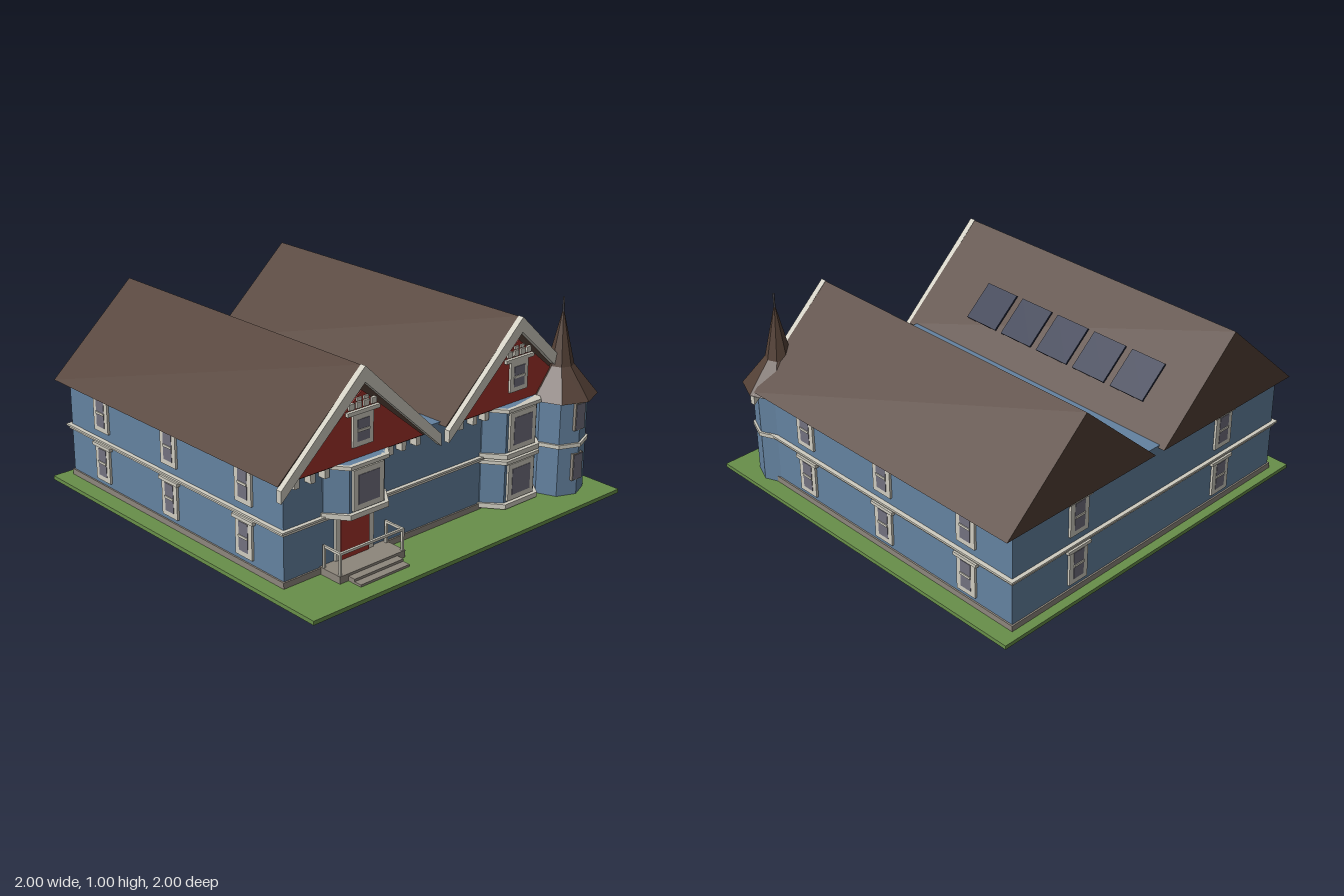
import * as THREE from 'three';

const mat = (name, color) => {
  const m = new THREE.MeshStandardMaterial({ color });
  m.name = name;
  return m;
};

export function createModel() {
  const lawnGreen = mat('lawnGreen', 0x688f4a);
  const wallBlue = mat('wallBlue', 0x6482a0);
  const trimCream = mat('trimCream', 0xcfccc0);
  const gableRed = mat('gableRed', 0xa0322b);
  const roofBrown = mat('roofBrown', 0x523f35);
  const stoneGrey = mat('stoneGrey', 0x8d867c);
  const glassGrey = mat('glassGrey', 0x72707f);
  const panelNavy = mat('panelNavy', 0x222a45);
  const metalGrey = mat('metalGrey', 0x4c4a50);

  const house = new THREE.Group();
  house.name = 'house';

  const add = (name, geo, material, parent = house) => {
    const m = new THREE.Mesh(geo, material);
    m.name = name;
    parent.add(m);
    return m;
  };
  // Box given by its limits on each axis
  const box = (name, material, [x0, x1], [y0, y1], [z0, z1], parent) => {
    const m = add(name, new THREE.BoxGeometry(x1 - x0, y1 - y0, z1 - z0), material, parent);
    m.position.set((x0 + x1) / 2, (y0 + y1) / 2, (z0 + z1) / 2);
    return m;
  };
  // Outline in x,y extruded from z0 to z1
  const slab = (name, material, pts, z0, z1, cx = 0) => {
    const shape = new THREE.Shape(pts.map(([x, y]) => new THREE.Vector2(x, y)));
    const geo = new THREE.ExtrudeGeometry(shape, { depth: z1 - z0, bevelEnabled: false });
    geo.translate(cx, 0, z0);
    return add(name, geo, material);
  };
  // Three-sided bay outline extruded upwards
  const bayPrism = (name, material, cx, half, front, zf, y0, y1) => {
    const shape = new THREE.Shape([
      new THREE.Vector2(-half, -0.68), new THREE.Vector2(-half, -0.7),
      new THREE.Vector2(-front, -zf), new THREE.Vector2(front, -zf),
      new THREE.Vector2(half, -0.7), new THREE.Vector2(half, -0.68),
    ]);
    const geo = new THREE.ExtrudeGeometry(shape, { depth: y1 - y0, bevelEnabled: false });
    geo.rotateX(-Math.PI / 2).translate(cx, y0, 0);
    return add(name, geo, material);
  };
  // Framed window facing local +z, with optional sash bar and header
  const windowUnit = (x, y, z, turn, w, h, border, bar = true, header = true) => {
    const g = new THREE.Group();
    g.name = 'window';
    const gw = w / 2 - border, gh = h / 2 - border;
    box('windowFrame', trimCream, [-w / 2, w / 2], [-h / 2, h / 2], [-0.01, 0.012], g);
    box('windowGlass', glassGrey, [-gw, gw], [-gh, gh], [0.008, 0.014], g);
    if (bar) box('sashBar', trimCream, [-gw, gw], [-0.006, 0.006], [0.01, 0.018], g);
    if (header) box('windowHeader', trimCream, [-w / 2 - 0.015, w / 2 + 0.015], [h / 2 - 0.017, h / 2], [0, 0.02], g);
    g.position.set(x, y, z);
    g.rotation.y = turn;
    house.add(g);
  };

  // Ground and main body
  const W = 0.905, ZF = 0.695, ZB = -0.945;
  box('lawn', lawnGreen, [-1, 1], [0, 0.02], [-1, 1]);
  box('walls', wallBlue, [-W, W], [0.02, 0.545], [ZB, ZF]);
  box('foundation', stoneGrey, [-W - 0.008, W + 0.008], [0.02, 0.05], [ZB - 0.008, ZF + 0.008]);
  box('floorBand', trimCream, [-W - 0.012, W + 0.012], [0.272, 0.286], [ZB - 0.012, ZF + 0.012]);
  box('floorBandCap', trimCream, [-W - 0.022, W + 0.022], [0.286, 0.296], [ZB - 0.02, ZF + 0.02]);

  // Side and back windows on both floors
  for (const y of [0.173, 0.434]) {
    for (const z of [0.433, -0.118, -0.668]) {
      for (const s of [-1, 1]) windowUnit(s * W, y, z, s * Math.PI / 2, 0.116, 0.194, 0.026);
    }
    for (const x of [-0.5, 0.5]) windowUnit(x, y, ZB, Math.PI, 0.116, 0.194, 0.026);
  }

  // Twin gabled roofs with their front trim
  for (const cx of [-0.5, 0.5]) {
    slab('roof', roofBrown, [[-0.472, 0.535], [0.472, 0.535], [0, 0.965]], -0.98, 0.74, cx);
    slab('gablePanel', gableRed, [[-0.378, 0.54], [0.378, 0.54], [0, 0.852]], 0.735, 0.746, cx);
    slab('bargeboard', trimCream, [
      [0, 0.968], [-0.475, 0.524], [-0.475, 0.465], [0, 0.893],
      [0.475, 0.465], [0.475, 0.524],
    ], 0.738, 0.768, cx);
    windowUnit(cx, 0.675, 0.746, 0, 0.12, 0.15, 0.024, true, false);
    box('gableShelf', trimCream, [cx - 0.095, cx + 0.095], [0.752, 0.77], [0.74, 0.762]);
    for (const dx of [-0.065, -0.022, 0.022, 0.065]) {
      box('gableBlock', trimCream, [cx + dx - 0.015, cx + dx + 0.015], [0.777, 0.805], [0.74, 0.756]);
    }
    for (const dx of [-0.02, 0.02]) {
      box('gablePeakBlock', trimCream, [cx + dx - 0.013, cx + dx + 0.013], [0.81, 0.825], [0.74, 0.754]);
    }
    for (const dx of [0.19, 0.27, 0.36]) {
      for (const s of [-1, 1]) {
        box('eaveBracket', trimCream, [cx + s * dx - 0.013, cx + s * dx + 0.013], [0.49, 0.535], [0.69, 0.735]);
      }
    }
  }

  // Bay windows: upper floor on both sides, lower floor on one
  const bay = (cx, y0, y1) => {
    bayPrism('bay', wallBlue, cx, 0.183, 0.105, 0.785, y0, y1);
    bayPrism('baySill', trimCream, cx, 0.193, 0.113, 0.805, y0, y0 + 0.025);
    bayPrism('bayCornice', trimCream, cx, 0.193, 0.113, 0.805, y1 - 0.018, y1);
    windowUnit(cx, (y0 + y1) / 2 + 0.003, 0.785, 0, 0.18, y1 - y0 - 0.06, 0.027, false, false);
  };
  bay(-0.5, 0.288, 0.542);
  bay(0.5, 0.288, 0.542);
  bay(0.5, 0.03, 0.278);

  // Front door
  box('doorFrame', trimCream, [-0.615, -0.385], [0.05, 0.288], [0.68, 0.707]);
  box('door', gableRed, [-0.588, -0.418], [0.05, 0.284], [0.7, 0.713]);

  // Porch, steps and railing
  box('porch', stoneGrey, [-0.7, -0.305], [0.02, 0.055], [0.69, 0.83]);
  for (let i = 0; i < 2; i++) {
    box('step', stoneGrey, [-0.65, -0.355], [0.02, 0.043 - i * 0.012], [0.82, 0.87 + i * 0.04]);
  }
  for (const x of [-0.69, -0.315]) {
    for (const z of [0.715, 0.82]) box('railPost', trimCream, [x - 0.006, x + 0.006], [0.05, 0.165], [z - 0.006, z + 0.006]);
    box('sideRail', trimCream, [x - 0.005, x + 0.005], [0.153, 0.165], [0.715, 0.82]);
  }
  box('frontRail', trimCream, [-0.69, -0.315], [0.153, 0.165], [0.814, 0.826]);

  // Eight-sided corner tower with flared pointed roof
  const tower = new THREE.Group();
  tower.name = 'tower';
  tower.position.set(0.8, 0, 0.755);
  house.add(tower);
  const drum = (name, material, r, y0, y1) => {
    const geo = new THREE.CylinderGeometry(r, r, y1 - y0, 8).toNonIndexed();
    geo.computeVertexNormals();
    add(name, geo, material, tower).position.y = (y0 + y1) / 2;
  };
  drum('towerWall', wallBlue, 0.14, 0.02, 0.525);
  drum('towerBand', trimCream, 0.152, 0.274, 0.294);
  const spireGeo = new THREE.LatheGeometry(
    [[0, 0.517], [0.187, 0.517], [0.066, 0.665], [0, 0.95]].map(([x, y]) => new THREE.Vector2(x, y)), 8,
  ).toNonIndexed();
  spireGeo.computeVertexNormals();
  add('towerRoof', spireGeo, roofBrown, tower);
  add('finial', new THREE.CylinderGeometry(0.005, 0.005, 0.08, 8), metalGrey, tower).position.y = 0.96;
  for (const y of [0.168, 0.43]) {
    box('towerWindowFrame', stoneGrey, [-0.035, 0.035], [y - 0.07, y + 0.07], [0.1, 0.141], tower);
    box('towerWindowGlass', glassGrey, [-0.03, 0.03], [y - 0.065, y + 0.065], [0.138, 0.143], tower);
  }

  // Row of solar panels above the inner slope
  for (let i = 0; i < 5; i++) {
    const p = add('solarPanel', new THREE.BoxGeometry(0.205, 0.01, 0.2), panelNavy);
    p.position.set(-0.202, 0.727, -0.66 + i * 0.241);
    p.rotation.z = -0.72;
  }

  return house;
}
